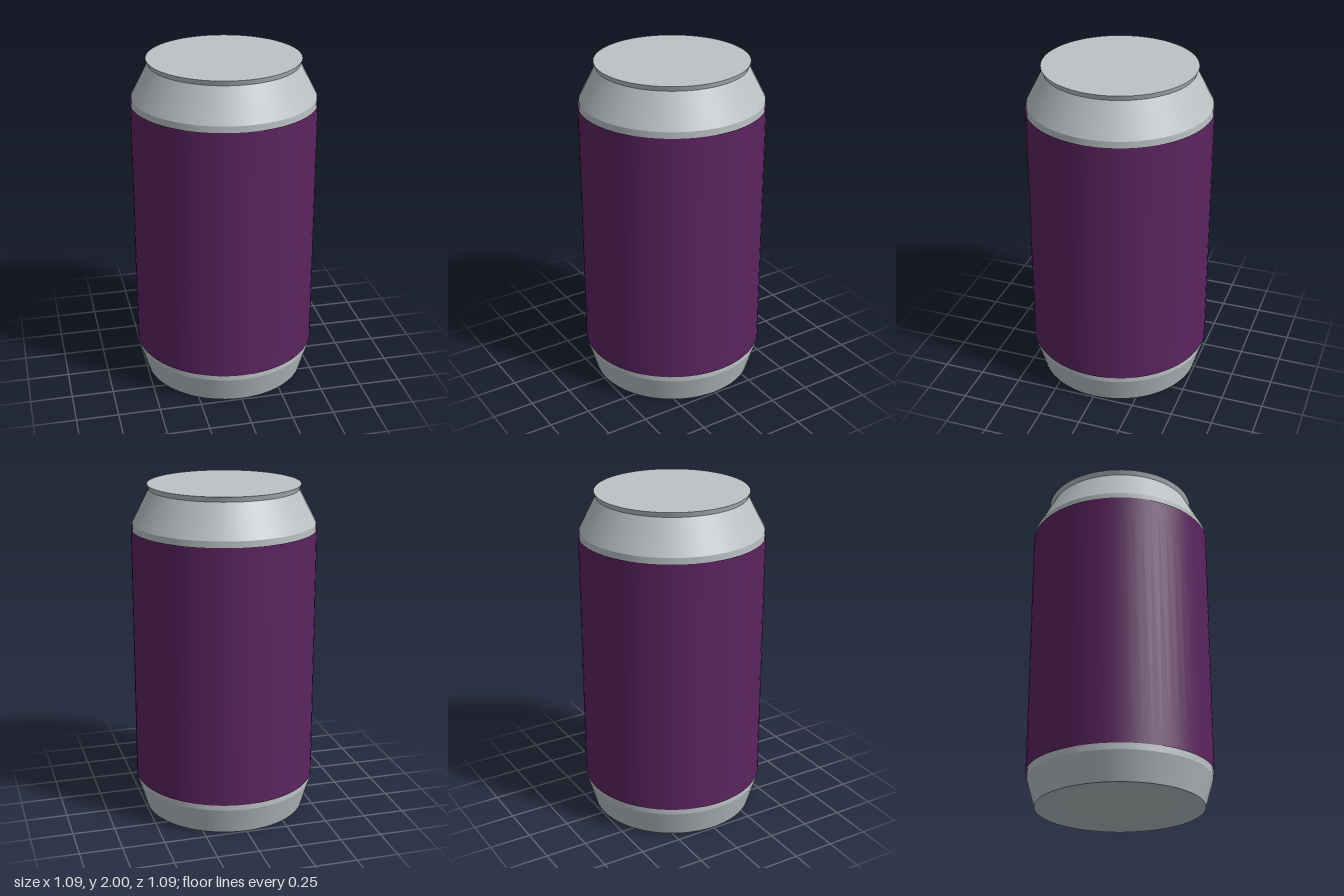
import * as THREE from 'three';

const SEGMENTS = 64;

export function createModel() {
  const can = new THREE.Group();
  can.name = 'drinkCan';

  const silver = new THREE.MeshStandardMaterial({ color: 0xbcc2c5 });
  silver.name = 'silver metal';
  const purple = new THREE.MeshStandardMaterial({ color: 0x5c2460, side: THREE.DoubleSide });
  purple.name = 'purple wrap';

  // Turned part from [radius, height] points, running upwards on the outside
  function turned(name, points, material) {
    const profile = points.map(([r, y]) => new THREE.Vector2(r, y));
    const mesh = new THREE.Mesh(new THREE.LatheGeometry(profile, SEGMENTS), material);
    mesh.name = name;
    can.add(mesh);
  }

  // Metal shell, one part per band so the creases stay crisp
  turned('base', [[0, 0.03], [0.2, 0.027], [0.36, 0.018], [0.45, 0.008], [0.49, 0]], silver);
  turned('lowerTaper', [[0.49, 0], [0.538, 0.165]], silver);
  turned('body', [[0.538, 0.165], [0.538, 1.775]], silver);
  turned('shoulder', [[0.538, 1.775], [0.438, 1.97]], silver);
  turned('rim', [[0.438, 1.97], [0.449, 2]], silver);
  turned('lid', [[0.449, 2], [0, 2]], silver);

  // Open printed sleeve just outside the body
  turned('sleeve', [[0.545, 0.2], [0.545, 1.74]], purple);

  return can;
}
